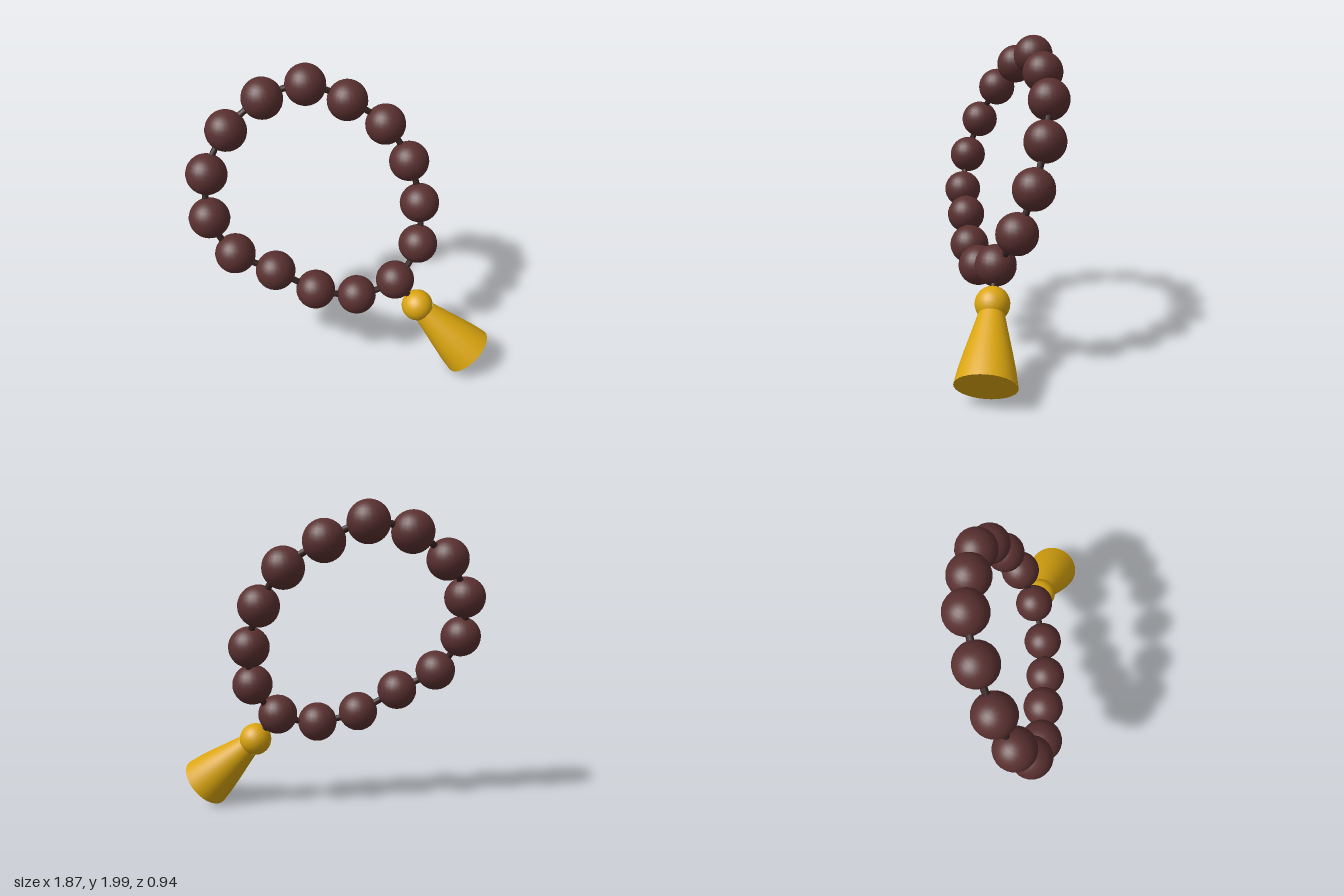
import * as THREE from 'three';

export function createModel() {
  const model = new THREE.Group();
  model.name = 'beadBracelet';
  const wood = new THREE.MeshStandardMaterial({ color: 0x5a3030 });
  wood.name = 'dark wood';
  const cordMat = new THREE.MeshStandardMaterial({ color: 0x33211f });
  cordMat.name = 'cord brown';
  const gold = new THREE.MeshStandardMaterial({ color: 0xdaa50f });
  gold.name = 'gold thread';

  const add = (name, geometry, material, position) => {
    const mesh = new THREE.Mesh(geometry, material);
    mesh.name = name;
    if (position) mesh.position.copy(position);
    model.add(mesh);
    return mesh;
  };

  // Bead centres around the leaning loop
  const centres = [
    [-0.17, 1.875, -0.345], [0.077, 1.77, -0.31], [0.304, 1.617, -0.255],
    [0.444, 1.39, -0.175], [0.503, 1.13, -0.085], [0.484, 0.875, 0.007],
    [0.325, 0.655, 0.08], [0.066, 0.587, 0.103], [-0.198, 0.653, 0.08],
    [-0.442, 0.802, 0.028], [-0.68, 0.934, -0.02], [-0.812, 1.164, -0.1],
    [-0.8, 1.42, -0.188], [-0.659, 1.656, -0.27], [-0.431, 1.817, -0.326],
  ].map((p) => new THREE.Vector3(...p));
  const beadGeometry = new THREE.SphereGeometry(0.125, 24, 16);
  centres.forEach((c, i) => add(`bead${i + 1}`, beadGeometry, wood, c));

  // Cord through the beads, and a short link to the tassel knot
  const loop = new THREE.CatmullRomCurve3(centres, true);
  add('cord', new THREE.TubeGeometry(loop, 120, 0.02, 8, true), cordMat);
  const knot = new THREE.Vector3(0.468, 0.472, 0.149);
  const link = new THREE.LineCurve3(centres[6], knot);
  add('tasselLink', new THREE.TubeGeometry(link, 1, 0.02, 8), cordMat);

  // Tassel: round knot and a flared skirt with a flat end
  add('tasselKnot', new THREE.SphereGeometry(0.103, 24, 16), gold, knot);
  const end = new THREE.Vector3(0.8, 0.136, 0.3);
  const axis = end.clone().sub(knot);
  const length = axis.length();
  const turn = new THREE.Quaternion().setFromUnitVectors(
    new THREE.Vector3(0, -1, 0), axis.clone().normalize());
  const profile = [[0.175, length], [0.158, 0.4], [0.132, 0.29], [0.104, 0.18], [0.077, 0.07]]
    .map(([r, d]) => new THREE.Vector2(r, -d));
  add('tasselSkirt', new THREE.LatheGeometry(profile, 32), gold, knot).quaternion.copy(turn);
  const cap = add('tasselEnd', new THREE.CircleGeometry(0.175, 32), gold, end);
  cap.quaternion.setFromUnitVectors(new THREE.Vector3(0, 0, 1), axis.normalize());

  return model;
}
